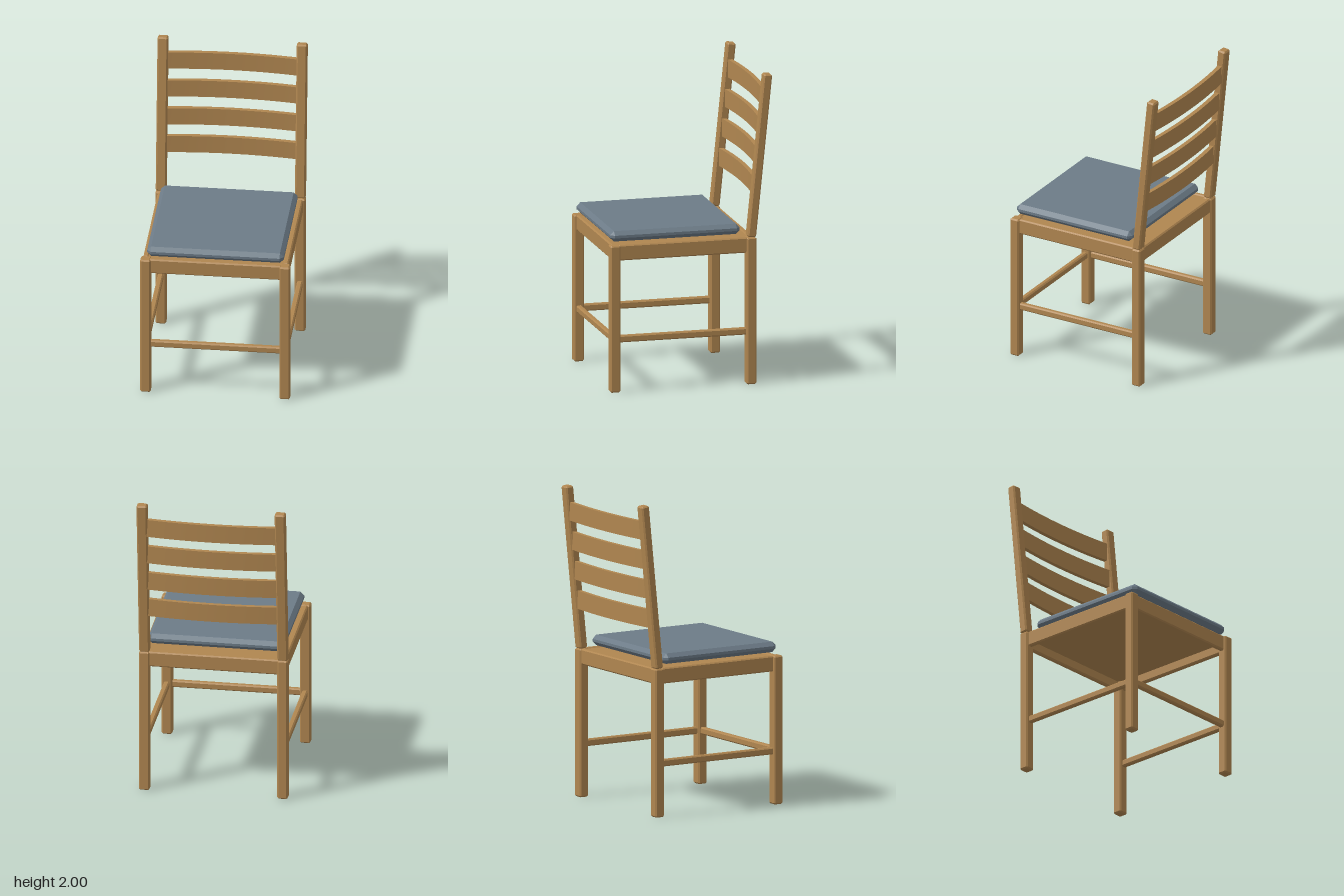
import * as THREE from 'three';
import { ConvexGeometry } from 'three/addons/geometries/ConvexGeometry.js';

// Box with single-step chamfers on every edge
function chamferBox(w, h, d, b) {
  const pts = [];
  for (const sx of [-1, 1]) for (const sy of [-1, 1]) for (const sz of [-1, 1]) {
    const x = w / 2, y = h / 2, z = d / 2;
    pts.push(
      new THREE.Vector3(sx * x, sy * (y - b), sz * (z - b)),
      new THREE.Vector3(sx * (x - b), sy * y, sz * (z - b)),
      new THREE.Vector3(sx * (x - b), sy * (y - b), sz * z));
  }
  return new ConvexGeometry(pts);
}

// Box bowed backwards in the middle
function bowedSlat(w, h, d, sag) {
  const geo = new THREE.BoxGeometry(w, h, d, 20, 1, 1);
  const p = geo.attributes.position;
  for (let i = 0; i < p.count; i++) {
    const t = p.getX(i) / (w / 2);
    p.setZ(i, p.getZ(i) - sag * (1 - t * t));
  }
  geo.computeVertexNormals();
  return geo;
}

export function createModel() {
  const chair = new THREE.Group();
  chair.name = 'chair';
  const wood = new THREE.MeshStandardMaterial({ color: 0xb08650 });
  wood.name = 'wood';
  const fabric = new THREE.MeshStandardMaterial({ color: 0x6c7b87 });
  fabric.name = 'cushion fabric';

  const add = (name, geo, x, y, z, mat = wood) => {
    const mesh = new THREE.Mesh(geo, mat);
    mesh.name = name;
    mesh.position.set(x, y, z);
    chair.add(mesh);
    return mesh;
  };

  const legX = 0.441, frontZ = 0.498, backZ = -0.39;
  const midZ = (frontZ + backZ) / 2, sideLength = frontZ - backZ - 0.05;
  const leg = chamferBox(0.067, 0.95, 0.065, 0.009);
  const post = chamferBox(0.067, 1.053, 0.055, 0.009);
  const sideRail = chamferBox(0.034, 0.1, sideLength, 0.008);
  const sideStretcher = chamferBox(0.036, 0.045, sideLength, 0.008);

  // Legs, leaning back posts, side rails and stretchers on both sides
  for (const [side, s] of [['left', 1], ['right', -1]]) {
    add(side + 'FrontLeg', leg, s * legX, 0.475, frontZ);
    add(side + 'BackLeg', leg, s * legX, 0.475, backZ);
    add(side + 'BackPost', post, s * legX, 1.475, -0.445).rotation.x = -0.101;
    add(side + 'SeatRail', sideRail, s * 0.443, 0.9, midZ);
    add(side + 'Stretcher', sideStretcher, s * legX, 0.342, midZ);
  }

  // Front and back seat rails, front stretcher
  const crossRail = chamferBox(0.84, 0.1, 0.034, 0.008);
  add('frontSeatRail', crossRail, 0, 0.9, frontZ);
  add('backSeatRail', crossRail, 0, 0.9, -0.397);
  add('frontStretcher', chamferBox(0.84, 0.045, 0.036, 0.008), 0, 0.342, frontZ);

  // Seat panel set inside the rails
  add('seatPanel', new THREE.BoxGeometry(0.86, 0.035, 0.87), 0, 0.926, midZ);

  // Cushion
  add('cushion', chamferBox(0.866, 0.067, 0.845, 0.025), 0, 0.998, 0.094, fabric);

  // Bowed back slats, stepping backwards with the posts
  const slat = bowedSlat(0.83, 0.116, 0.028, 0.026);
  for (let i = 0; i < 4; i++) {
    add('backSlat' + (i + 1), slat, 0, 1.268 + i * 0.19, -0.427 - i * 0.0195);
  }
  return chair;
}
